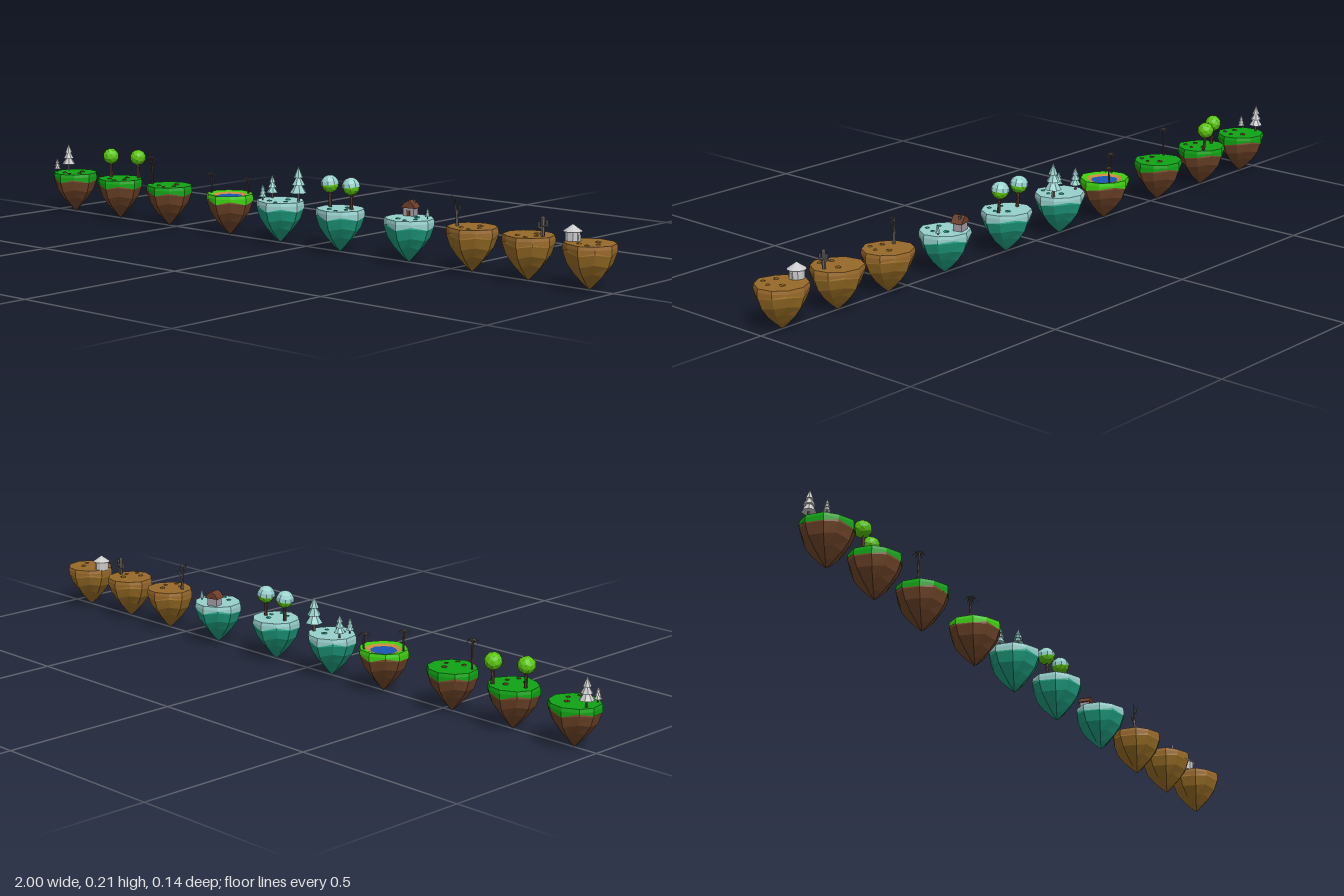
import * as THREE from 'three';

const mat = (color) => new THREE.MeshStandardMaterial({ color, flatShading: true, side: THREE.DoubleSide });
const M = {
  grass: mat(0x10a414), soil: mat(0x74482a), snow: mat(0x98d2ce), ice: mat(0x1fa283),
  sand: mat(0x98692a), desert: mat(0x9c7026), meadow: mat(0x3fd010), beach: mat(0xc9893a),
  water: mat(0x1a55b4), leaf: mat(0x5cc80e), trunk: mat(0x5b3c2e), roof: mat(0x6e3f2a),
  wall: mat(0xa79da8), grey: mat(0xcccccc), dark: mat(0x66605e),
};
const TOP = 0.117;

function add(parent, name, geo, material, x = 0, y = 0, z = 0) {
  const m = new THREE.Mesh(geo, material);
  m.name = name;
  m.position.set(x, y, z);
  parent.add(m);
  return m;
}

// Irregular plan shared by every island (x, z)
const PLAN = [[-0.07, -0.015], [-0.052, -0.048], [-0.012, -0.068], [0.03, -0.06], [0.06, -0.032],
  [0.07, 0.008], [0.048, 0.048], [0.012, 0.069], [-0.03, 0.055], [-0.06, 0.032]];
const N = PLAN.length;
const DROP = [0, 0.008, -0.004, 0.007, 0.001, -0.006, 0.004, -0.005, 0.006, -0.003];

// Skin a stack of scaled plan rings; jag moves ring points up or down
function loft(rings) {
  const pos = [], idx = [];
  rings.forEach(([s, y, jag = 0]) => PLAN.forEach(([x, z], i) => pos.push(x * s, y + DROP[i] * jag, z * s)));
  for (let r = 0; r < rings.length - 1; r++) {
    for (let i = 0; i < N; i++) {
      const a = r * N + i, b = r * N + (i + 1) % N;
      idx.push(a, b, a + N, b, b + N, a + N);
    }
  }
  const g = new THREE.BufferGeometry();
  g.setAttribute('position', new THREE.Float32BufferAttribute(pos, 3));
  g.setIndex(idx);
  const flat = g.toNonIndexed();
  flat.computeVertexNormals();
  return flat;
}

function island(name, x, cover, rock, pond = false) {
  const g = new THREE.Group();
  g.name = name;
  g.position.x = x;
  add(g, 'rockUnderside', loft([[0, 0], [0.27, 0.018, 0.3], [0.58, 0.042, 0.8], [0.84, 0.067, 0.8], [0.98, 0.094, 0.6], [0.94, 0.112]]), rock);
  const inner = pond ? 0.72 : 0;
  add(g, 'groundLayer', loft([[0.94, 0.1, 1], [1, 0.097, 1], [1, 0.108], [0.97, TOP], [inner, pond ? 0.114 : TOP]]), cover);
  if (pond) {
    add(g, 'beach', loft([[0.72, 0.114], [0.5, 0.109]]), M.beach);
    add(g, 'pondWater', loft([[0.54, 0.11], [0, 0.11]]), M.water);
  } else {
    // Low stones lying on the ground
    [[0.012, -0.018, 0.008], [0.032, 0.012, 0.006], [-0.012, 0.03, 0.007], [0.02, 0.042, 0.006]].forEach(([sx, sz, r], i) => {
      const s = add(g, 'stone', new THREE.DodecahedronGeometry(r, 0), rock, sx, TOP, sz);
      s.scale.y = 0.5;
      s.rotation.y = i * 1.3;
    });
  }
  return g;
}

// Tapered stick between two points
function stick(parent, name, a, b, r0, r1, material, sides = 5) {
  const A = new THREE.Vector3(...a), B = new THREE.Vector3(...b), d = B.clone().sub(A);
  const m = add(parent, name, new THREE.CylinderGeometry(r1, r0, d.length(), sides), material);
  m.position.copy(A).add(B).multiplyScalar(0.5);
  m.quaternion.setFromUnitVectors(new THREE.Vector3(0, 1, 0), d.normalize());
  return m;
}

function plant(parent, name, x, z) {
  const g = new THREE.Group();
  g.name = name;
  g.position.set(x, TOP - 0.002, z);
  parent.add(g);
  return g;
}

function pine(parent, x, z, h, needles) {
  const g = plant(parent, 'pineTree', x, z);
  stick(g, 'pineTrunk', [0, 0, 0], [0, h * 0.4, 0], h * 0.05, h * 0.04, M.dark);
  [[0.22, 0.25, 0.38], [0.175, 0.47, 0.33], [0.125, 0.68, 0.32]].forEach(([r, y, t], i) => {
    add(g, 'pineTier', new THREE.ConeGeometry(h * r * 1.1, h * t, 7), needles, 0, h * (y + t / 2), 0).rotation.y = i * 0.4;
  });
}

function roundTree(parent, x, z, snowy) {
  const g = plant(parent, 'roundTree', x, z);
  stick(g, 'treeTrunk', [0.004, 0, 0.003], [0, 0.05, 0], 0.005, 0.0035, M.trunk, 6);
  stick(g, 'treeBranch', [0.002, 0.026, 0], [0.011, 0.05, 0.004], 0.003, 0.002, M.trunk);
  add(g, 'treeCrown', new THREE.IcosahedronGeometry(0.0235, 1), M.leaf, 0, 0.062, 0).rotation.set(0.3, x * 20, 0);
  if (snowy) {
    add(g, 'snowCap', new THREE.SphereGeometry(0.0255, 9, 4, 0, Math.PI * 2, 0, Math.PI * 0.52), M.snow, 0, 0.062, 0).rotation.z = 0.15;
  }
}

function palm(parent, x, z, h) {
  const g = plant(parent, 'palmTree', x, z);
  const curve = new THREE.QuadraticBezierCurve3(new THREE.Vector3(0, 0, 0), new THREE.Vector3(0.004, h * 0.5, 0), new THREE.Vector3(0, h, 0.003));
  add(g, 'palmTrunk', new THREE.TubeGeometry(curve, 6, 0.0027, 5), M.trunk);
  // Drooping fronds around the top
  for (let i = 0; i < 7; i++) {
    const frond = new THREE.PlaneGeometry(0.007, 0.019, 2, 3).rotateX(-Math.PI / 2).translate(0, 0, 0.0095);
    const p = frond.attributes.position;
    for (let k = 0; k < p.count; k++) {
      const t = p.getZ(k) / 0.019;
      p.setXYZ(k, p.getX(k) * (1.1 - t), 0.004 * Math.sin(t * 2.4) - 0.011 * t * t - Math.abs(p.getX(k)) * 0.4, p.getZ(k));
    }
    frond.computeVertexNormals();
    add(g, 'palmFrond', frond, M.dark, 0, h, 0.003).rotation.y = i * Math.PI * 2 / 7;
  }
  for (const s of [-1, 1]) add(g, 'coconut', new THREE.IcosahedronGeometry(0.003, 0), M.trunk, s * 0.003, h - 0.003, 0.003);
}

export function createModel() {
  const root = new THREE.Group();
  root.name = 'floatingIslands';
  const place = (...a) => { const g = island(...a); root.add(g); return g; };

  // Grassy islands
  const pines = place('pineIsland', -0.93, M.grass, M.soil);
  pine(pines, -0.05, -0.02, 0.08, M.grey);
  pine(pines, -0.045, 0.03, 0.042, M.grey);
  const woods = place('woodIsland', -0.735, M.grass, M.soil);
  roundTree(woods, -0.046, -0.008, false);
  roundTree(woods, 0.034, -0.041, false);
  palm(place('palmIsland', -0.53, M.grass, M.soil), -0.05, 0.018, 0.08);
  const oasis = place('pondIsland', -0.288, M.meadow, M.soil, true);
  palm(oasis, -0.054, 0.018, 0.056);
  palm(oasis, 0.03, -0.044, 0.043);

  // Snowy islands
  const snowPines = place('snowPineIsland', -0.096, M.snow, M.ice);
  pine(snowPines, 0.049, -0.02, 0.098, M.snow);
  pine(snowPines, -0.046, -0.018, 0.066, M.snow);
  pine(snowPines, -0.035, 0.032, 0.046, M.snow);
  const snowWoods = place('snowWoodIsland', 0.122, M.snow, M.ice);
  roundTree(snowWoods, -0.043, -0.008, true);
  roundTree(snowWoods, 0.032, -0.008, true);
  const cabinIsle = place('cabinIsland', 0.36, M.snow, M.ice);
  pine(cabinIsle, 0.046, -0.02, 0.03, M.snow);

  // Cabin with a gable roof
  const cabin = plant(cabinIsle, 'cabin', -0.023, -0.034);
  cabin.rotation.y = 0.25;
  add(cabin, 'cabinWalls', new THREE.BoxGeometry(0.03, 0.026, 0.026), M.wall, 0, 0.013, 0);
  const gable = new THREE.Shape([new THREE.Vector2(-0.021, 0.023), new THREE.Vector2(0.021, 0.023), new THREE.Vector2(0.012, 0.036), new THREE.Vector2(0, 0.043), new THREE.Vector2(-0.012, 0.036)]);
  add(cabin, 'cabinRoof', new THREE.ExtrudeGeometry(gable, { depth: 0.033, bevelEnabled: false }), M.roof, 0, 0, -0.0165);
  add(cabin, 'cabinDoor', new THREE.BoxGeometry(0.009, 0.017, 0.002), M.roof, 0, 0.0085, 0.0135);
  add(cabin, 'chimney', new THREE.BoxGeometry(0.006, 0.014, 0.006), M.dark, 0.01, 0.036, -0.006);

  // Desert islands
  const bare = plant(place('deadTreeIsland', 0.568, M.sand, M.desert), 'deadTree', -0.037, 0.015);
  stick(bare, 'deadTrunk', [0, 0, 0], [-0.002, 0.04, 0], 0.005, 0.003, M.dark);
  [[[-0.002, 0.038, 0], [-0.013, 0.08, 0.006]], [[-0.002, 0.03, 0], [0.013, 0.058, -0.006]],
    [[0.007, 0.047, -0.003], [0.009, 0.072, 0.004]], [[-0.007, 0.058, 0.003], [0.003, 0.074, 0.012]],
    [[-0.001, 0.022, 0], [-0.012, 0.042, -0.005]]].forEach(([a, b]) => stick(bare, 'deadBranch', a, b, 0.0028, 0.0008, M.dark));

  const cactus = plant(place('cactusIsland', 0.745, M.sand, M.desert), 'cactus', 0.043, 0);
  add(cactus, 'cactusStem', new THREE.CapsuleGeometry(0.0055, 0.044, 2, 6), M.dark, 0, 0.026, 0);
  for (const [s, y] of [[-1, 0.02], [1, 0.027]]) {
    stick(cactus, 'cactusArm', [0, y, 0], [s * 0.012, y + 0.002, 0], 0.0035, 0.0035, M.dark, 6);
    add(cactus, 'cactusArmTip', new THREE.CapsuleGeometry(0.0037, 0.012, 2, 6), M.dark, s * 0.012, y + 0.008, 0);
  }

  const hut = plant(place('hutIsland', 0.93, M.sand, M.desert), 'roundHut', -0.052, 0);
  add(hut, 'hutWall', new THREE.CylinderGeometry(0.02, 0.02, 0.026, 10), M.grey, 0, 0.013, 0);
  add(hut, 'hutRoof', new THREE.ConeGeometry(0.0255, 0.018, 10), M.grey, 0, 0.034, 0);
  add(hut, 'hutDoor', new THREE.BoxGeometry(0.002, 0.017, 0.011), M.grey, 0.0195, 0.0085, 0);
  return root;
}
